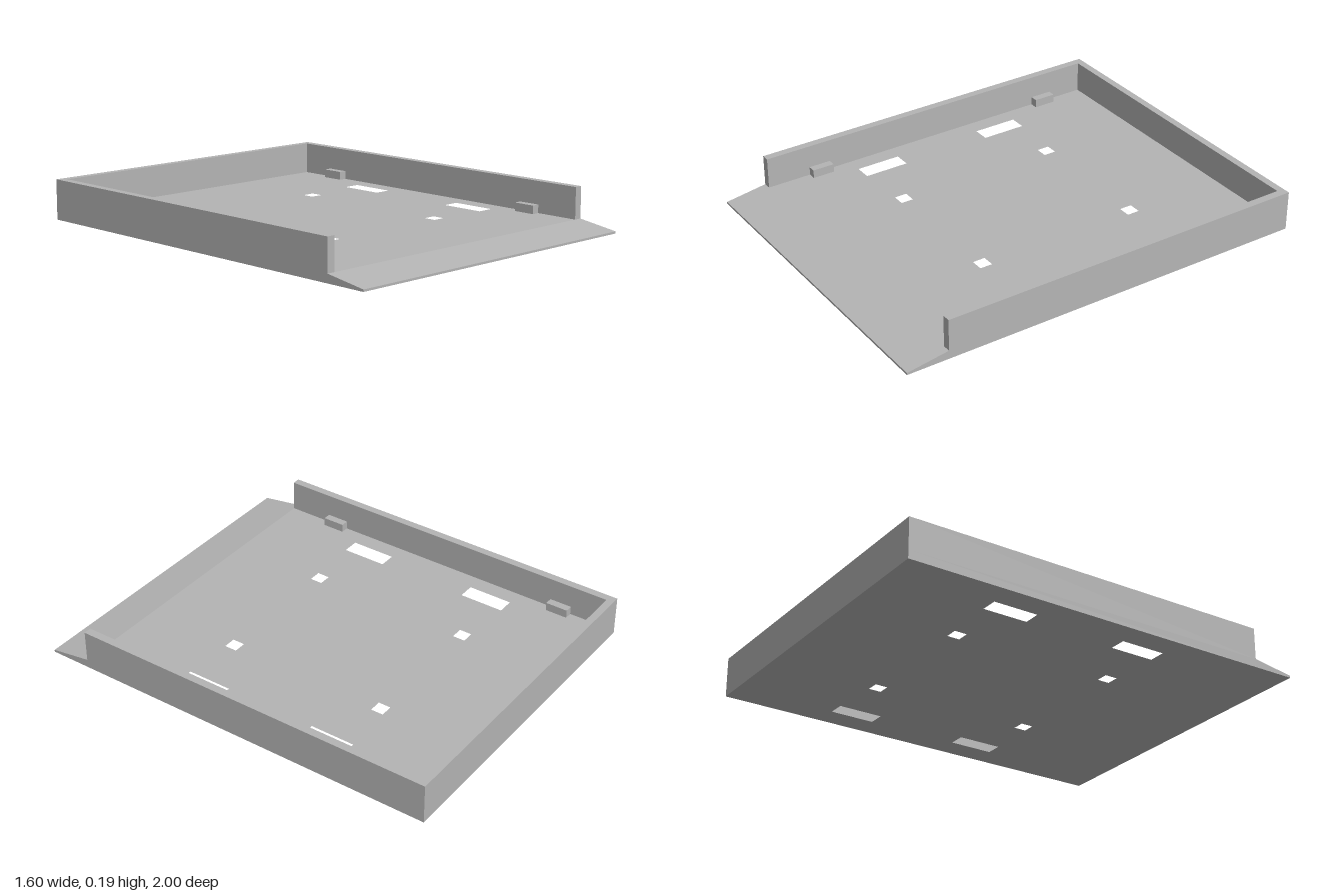
import * as THREE from 'three';

const FLOOR = 0.04, TOP = 0.19, HALF_W = 0.8, BACK = -1, LIP = 0.8, FRONT = 1;

// Corner points of a rectangle on the floor plan, given in x and z
const rect = (x0, x1, z0, z1) =>
  [[x0, z0], [x1, z0], [x1, z1], [x0, z1]].map(([x, z]) => new THREE.Vector2(x, -z));

// Extrude a floor plan upwards from y0 to y1
function slab(shape, y0, y1) {
  const geo = new THREE.ExtrudeGeometry(shape, { depth: y1 - y0, bevelEnabled: false });
  return geo.rotateX(-Math.PI / 2).translate(0, y0, 0);
}

export function createModel() {
  const model = new THREE.Group();
  model.name = 'tray';
  const grey = new THREE.MeshStandardMaterial({ color: 0xb4b4b4 });
  grey.name = 'grey plastic';

  const add = (name, geo) => {
    const mesh = new THREE.Mesh(geo, grey);
    mesh.name = name;
    model.add(mesh);
    return mesh;
  };

  // Floor plate with strap slots and square mounting holes
  const floor = new THREE.Shape(rect(-HALF_W, HALF_W, BACK, LIP));
  for (const s of [-1, 1]) {
    for (const z of [-0.405, 0.26])
      floor.holes.push(new THREE.Path(rect(s * 0.64 - 0.04, s * 0.64 + 0.04, z - 0.108, z + 0.108)));
    for (const z of [-0.47, 0.33])
      floor.holes.push(new THREE.Path(rect(s * 0.33 - 0.03, s * 0.33 + 0.03, z - 0.03, z + 0.03)));
  }
  add('floor', slab(floor, 0, FLOOR));

  // U-shaped rim: two side walls and the back wall
  const inX = 0.762, inZ = -0.965;
  const rim = new THREE.Shape([
    [-HALF_W, LIP], [-HALF_W, BACK], [HALF_W, BACK], [HALF_W, LIP],
    [inX, LIP], [inX, inZ], [-inX, inZ], [-inX, LIP],
  ].map(([x, z]) => new THREE.Vector2(x, -z)));
  add('rim', slab(rim, FLOOR, TOP));

  // Sloping entry ramp, a side profile extruded across the width
  const profile = new THREE.Shape([[LIP, 0], [FRONT, 0], [FRONT, 0.01], [LIP, FLOOR]]
    .map(([z, y]) => new THREE.Vector2(-z, y)));
  const ramp = new THREE.ExtrudeGeometry(profile, { depth: 2 * HALF_W, bevelEnabled: false });
  add('ramp', ramp.rotateY(Math.PI / 2).translate(-HALF_W, 0, 0));

  // Small stop blocks along the side walls
  for (const s of [-1, 1])
    for (const z of [-0.735, 0.53])
      add('stopBlock', new THREE.BoxGeometry(0.038, 0.04, 0.108))
        .position.set(s * 0.743, FLOOR + 0.02, z);

  return model;
}
